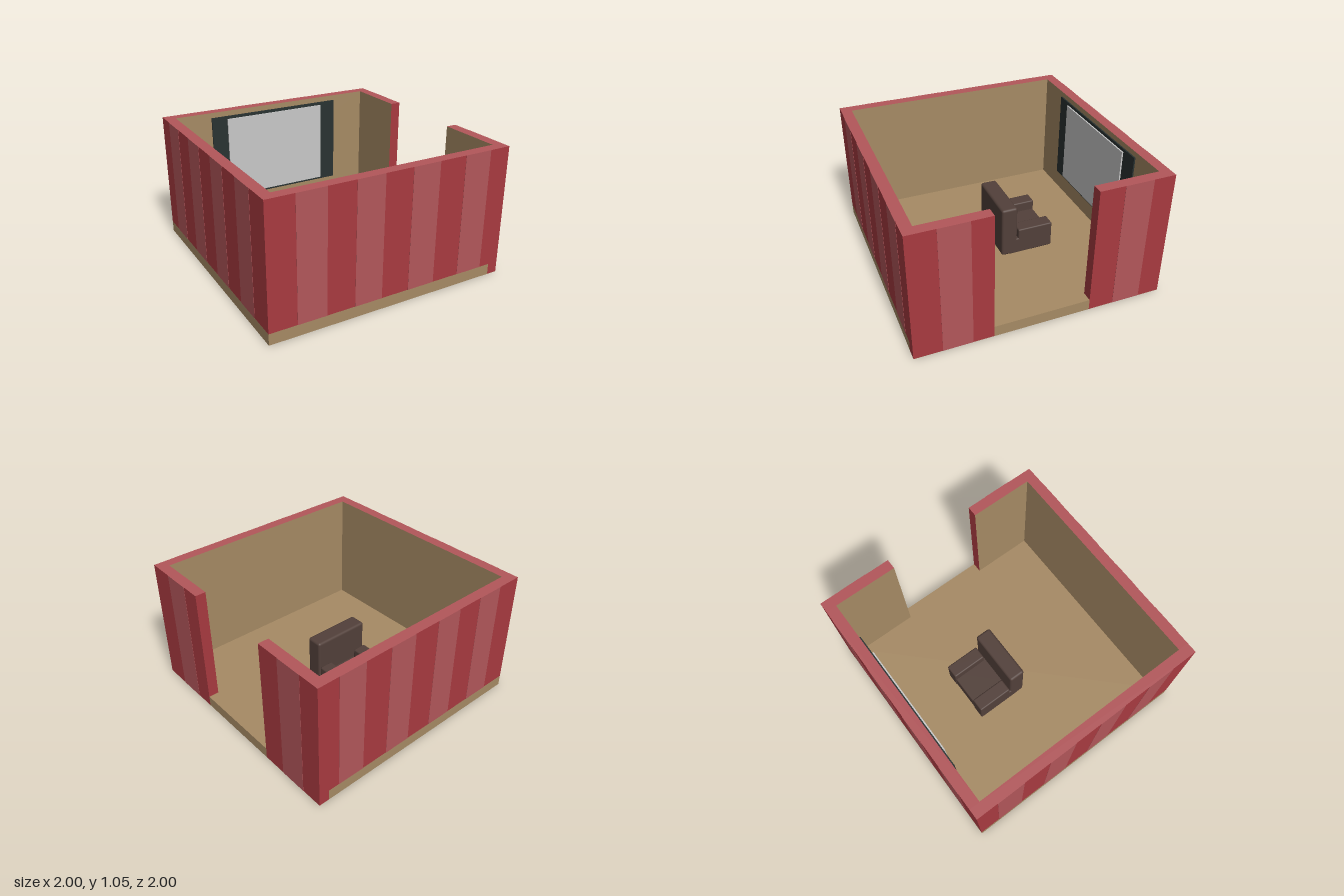
import * as THREE from 'three';
import { RoundedBoxGeometry } from 'three/addons/geometries/RoundedBoxGeometry.js';

const material = (name, color) => {
  const m = new THREE.MeshStandardMaterial({ color });
  m.name = name;
  return m;
};

export function createModel() {
  const room = new THREE.Group();
  room.name = 'cinemaRoom';

  const darkRed = material('darkRed', 0xa83a40);
  const lightRed = material('lightRed', 0xb2565a);
  const tan = material('tan', 0xa68a64);
  const frameBlack = material('frameBlack', 0x293231);
  const screenGrey = material('screenGrey', 0xc8c8c8);
  const brown = material('brown', 0x52403a);

  // Box given by its minimum and maximum along each axis; a radius rounds its edges
  const box = (name, mat, [x0, x1], [y0, y1], [z0, z1], radius = 0, parent = room) => {
    const size = [x1 - x0, y1 - y0, z1 - z0];
    const geometry = radius
      ? new RoundedBoxGeometry(...size, 3, radius)
      : new THREE.BoxGeometry(...size);
    const mesh = new THREE.Mesh(geometry, mat);
    mesh.name = name;
    mesh.position.set((x0 + x1) / 2, (y0 + y1) / 2, (z0 + z1) / 2);
    parent.add(mesh);
    return mesh;
  };

  const FLOOR = 0.09, TOP = 1.055, OUT = 0.998, IN = 0.912;

  // Floor slab
  box('floor', tan, [-0.9975, 0.9975], [0, FLOOR], [-0.9975, 0.9975]);

  // Walls: red outside and at the ends, tan inside, light red on top.
  // Face order is +x, -x, +y, -y, +z, -z.
  const wallMaterials = (innerFace) => {
    const faces = Array(6).fill(darkRed);
    faces[2] = lightRed;
    faces[innerFace] = tan;
    return faces;
  };
  box('frontWall', wallMaterials(5), [-IN, IN], [FLOOR, TOP], [IN, OUT]);
  box('backWall', wallMaterials(4), [-IN, IN], [FLOOR, TOP], [-OUT, -IN]);
  box('closedSideWall', wallMaterials(0), [-OUT, -IN], [FLOOR, TOP], [-OUT, OUT]);
  // Doorway side: two wall pieces that reach the ground
  box('doorWallFront', wallMaterials(1), [IN, OUT], [0.002, TOP], [0.387, OUT]);
  box('doorWallBack', wallMaterials(1), [IN, OUT], [0.002, TOP], [-OUT, -0.387]);

  // Light stripes as thin plates on the outside of the walls
  const stripes = [[-0.78, -0.55], [-0.325, -0.1], [0.13, 0.36], [0.59, 0.82]];
  stripes.forEach(([a, b], i) => {
    const outer = [OUT - 0.001, 1], far = [-1, 0.001 - OUT];
    box('frontStripe', lightRed, [a, b], [FLOOR, TOP], outer);
    box('backStripe', lightRed, [a, b], [FLOOR, TOP], far);
    box('closedSideStripe', lightRed, far, [FLOOR, TOP], [-b, -a]);
    if (i === 0 || i === 3) box('doorSideStripe', lightRed, outer, [0.002, TOP], [-b, -a]);
  });

  // Projection screen on the back wall
  box('screenFrame', frameBlack, [-0.6, 0.61], [0.25, 1.01], [-IN, -0.9]);
  box('screen', screenGrey, [-0.46, 0.46], [0.27, 0.985], [-0.9, -0.888]);

  // Armchair facing the screen
  const chair = new THREE.Group();
  chair.name = 'armchair';
  room.add(chair);
  box('seat', brown, [-0.2, 0.22], [FLOOR, 0.23], [-0.422, -0.02], 0.01, chair);
  box('backrest', brown, [-0.23, 0.25], [FLOOR, 0.53], [-0.117, 0.018], 0.02, chair);
  for (const side of [-1, 1]) {
    const inner = 0.01 + side * 0.125, outer = 0.01 + side * 0.24;
    const span = [Math.min(inner, outer), Math.max(inner, outer)];
    box('armrest', brown, span, [FLOOR, 0.313], [-0.427, -0.128], 0.012, chair);
    box('armrestBase', brown, span, [FLOOR, 0.23], [-0.2, -0.05], 0.012, chair);
  }

  return room;
}
